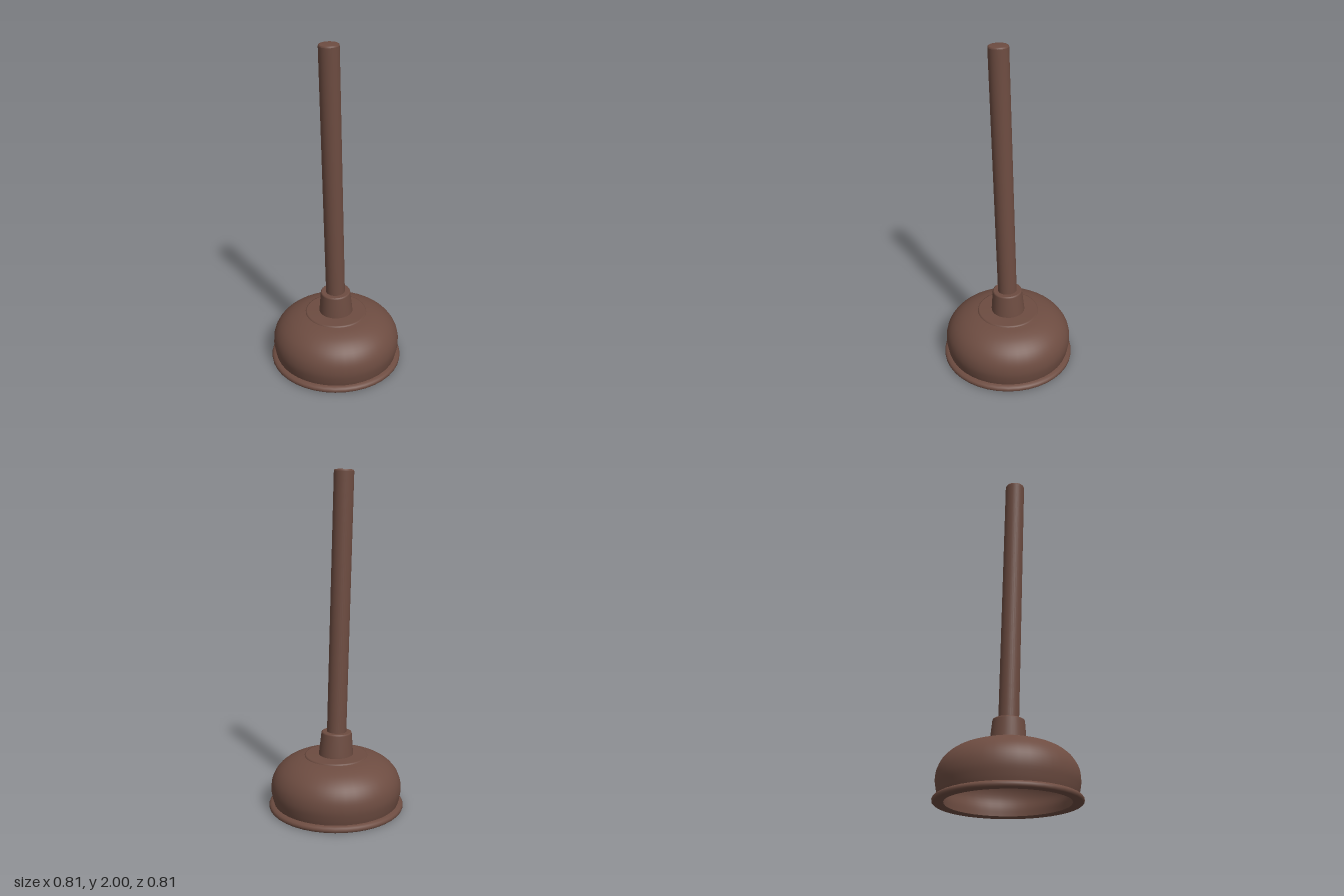
import * as THREE from 'three';

// Lathe from [radius, height] points
const lathe = (points, segments = 40) =>
  new THREE.LatheGeometry(points.map(([r, y]) => new THREE.Vector2(r, y)), segments);

// Smooth list of points through a few profile points
const smooth = (points, n) =>
  new THREE.CatmullRomCurve3(points.map(([r, y]) => new THREE.Vector3(r, y, 0)))
    .getPoints(n).map(p => [Math.max(p.x, 0), p.y]);

export function createModel() {
  const model = new THREE.Group();
  model.name = 'plunger';
  const brown = new THREE.MeshStandardMaterial({ color: 0x6d4c41 });
  brown.name = 'brown';

  const add = (name, geometry, parent) => {
    const mesh = new THREE.Mesh(geometry, brown);
    mesh.name = name;
    parent.add(mesh);
    return mesh;
  };

  // Rubber cup: outer wall, from the rim up to the crown
  add('cupOuter', lathe(smooth([
    [0.375, 0.03], [0.384, 0.065], [0.392, 0.12], [0.383, 0.18],
    [0.352, 0.235], [0.3, 0.279], [0.24, 0.306], [0.186, 0.319],
  ], 24)), model);

  // Slightly raised disc on the crown
  add('crownDisc', lathe([[0.19, 0.315], [0.187, 0.324], [0.18, 0.326], [0, 0.332]]), model);

  // Hollow inside, profiled downwards so that it faces inwards
  add('cupInner', lathe(smooth([
    [0, 0.285], [0.12, 0.283], [0.22, 0.267], [0.3, 0.228],
    [0.343, 0.17], [0.355, 0.11], [0.345, 0.05], [0.343, 0.005],
  ], 24)), model);

  // Rolled lip around the opening
  add('rim', lathe([
    [0.343, 0.005], [0.35, 0], [0.398, 0], [0.405, 0.006],
    [0.406, 0.018], [0.4, 0.027], [0.387, 0.034], [0.37, 0.036],
  ]), model);

  // Collar and handle lean together towards the front right
  const lean = new THREE.Group();
  lean.name = 'leaningHandle';
  lean.position.y = 0.33;
  lean.quaternion.setFromUnitVectors(
    new THREE.Vector3(0, 1, 0), new THREE.Vector3(-0.027, 1, 0.027).normalize());
  model.add(lean);

  add('collar', lathe([
    [0.103, -0.006], [0.102, 0.01], [0.091, 0.128], [0.089, 0.134],
    [0.084, 0.137], [0.084, 0.137], [0.05, 0.137],
  ], 32), lean);

  // Wooden stick with a softened top edge
  add('handleShaft', new THREE.CylinderGeometry(0.058, 0.058, 1.66, 32, 1, true)
    .translate(0, 0.83, 0), lean);
  add('handleTop', lathe([[0.058, 1.658], [0.056, 1.666], [0.051, 1.669], [0, 1.67]], 32), lean);

  return model;
}
